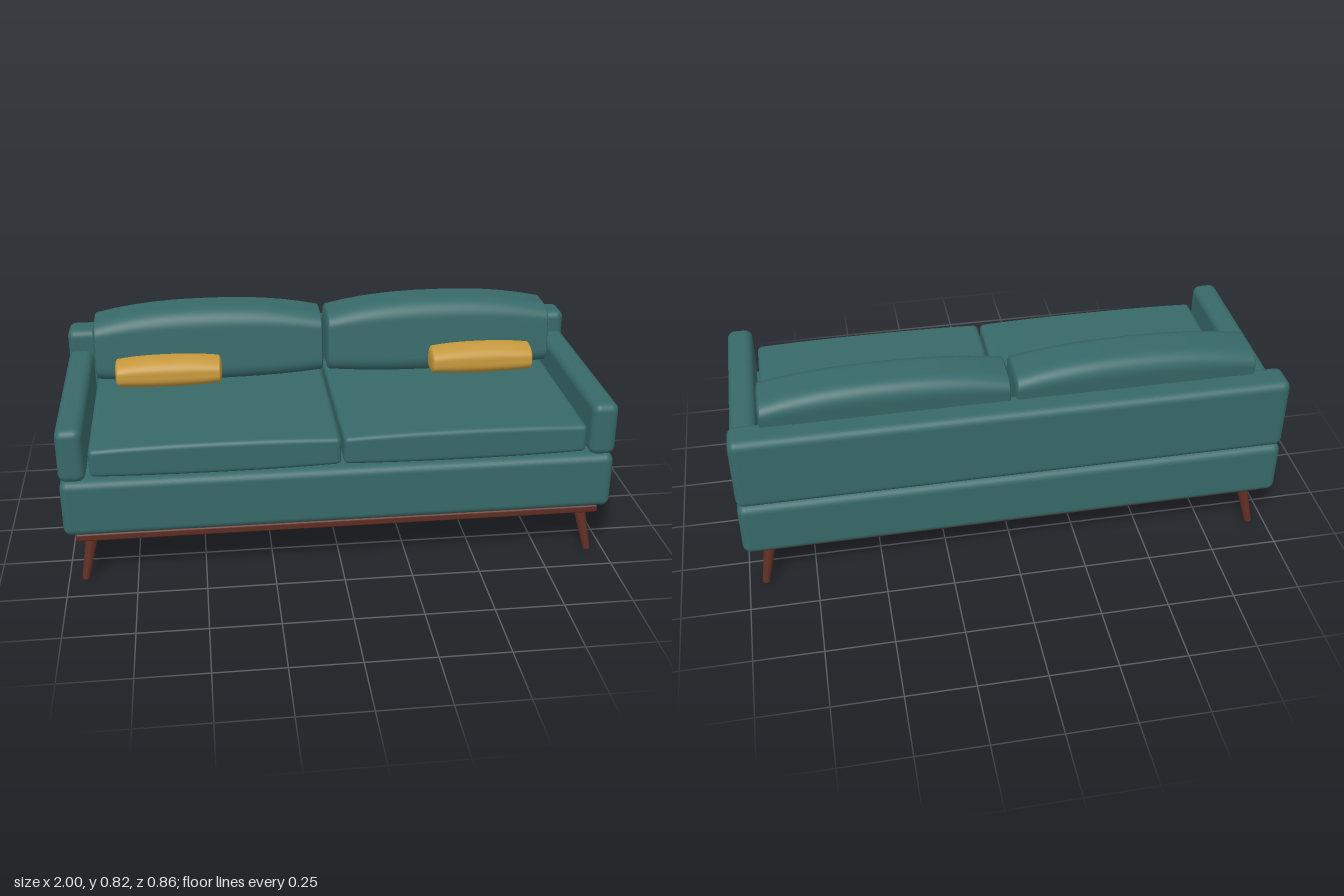
import * as THREE from 'three';
import { mergeVertices } from 'three/addons/utils/BufferGeometryUtils.js';
import { RoundedBoxGeometry } from 'three/addons/geometries/RoundedBoxGeometry.js';

const fabric = new THREE.MeshStandardMaterial({ color: 0x376968 });
fabric.name = 'teal fabric';
const wood = new THREE.MeshStandardMaterial({ color: 0x5e2d23 });
wood.name = 'dark wood';
const mustard = new THREE.MeshStandardMaterial({ color: 0xc4973c });
mustard.name = 'mustard fabric';

// Rounded box given by its minimum and maximum corners
function block(name, material, min, max, radius) {
  const size = max.map((v, i) => v - min[i]);
  const mesh = new THREE.Mesh(new RoundedBoxGeometry(...size, 4, radius), material);
  mesh.position.set(...max.map((v, i) => (v + min[i]) / 2));
  mesh.name = name;
  return mesh;
}

// Soft block: separate corner radius per axis, crowned top and bottom, leaning back
function cushion(name, material, min, max, radii, { top = 0, bottom = 0, lean = 0 }) {
  const half = max.map((v, i) => (v - min[i]) / 2);
  const n = 24, corner = 6;
  let geometry = new THREE.BoxGeometry(2, 2, 2, n, n, n);
  geometry.deleteAttribute('uv');
  geometry.deleteAttribute('normal');
  const pos = geometry.attributes.position;
  for (let i = 0; i < pos.count; i++) {
    // offset beyond the inner box, in units of the corner radius
    const inner = [], offset = new THREE.Vector3();
    for (let a = 0; a < 3; a++) {
      const t = pos.getComponent(i, a) * n / 2;
      const flat = n / 2 - corner;
      const core = THREE.MathUtils.clamp(t, -flat, flat);
      inner[a] = core / flat * (half[a] - radii[a]);
      offset.setComponent(a, Math.tan((t - core) / corner * Math.PI / 4));
    }
    offset.normalize();
    const p = inner.map((v, a) => v + offset.getComponent(a) * radii[a]);
    const u = Math.abs(p[0] / half[0]) ** 2.4;
    const s = p[1] / half[1];
    p[1] -= s > 0 ? top * u * s : bottom * u * s;
    p[2] -= lean * p[1];
    pos.setXYZ(i, ...p);
  }
  geometry = mergeVertices(geometry, 1e-5);
  geometry.computeVertexNormals();
  const mesh = new THREE.Mesh(geometry, material);
  mesh.position.set(...max.map((v, i) => (v + min[i]) / 2));
  mesh.name = name;
  return mesh;
}

// Tapered leg between two points
function leg(name, topPoint, footPoint) {
  const a = new THREE.Vector3(...topPoint), b = new THREE.Vector3(...footPoint);
  const axis = a.clone().sub(b);
  const mesh = new THREE.Mesh(new THREE.CylinderGeometry(0.023, 0.0135, axis.length(), 20), wood);
  mesh.position.copy(a).add(b).multiplyScalar(0.5);
  mesh.quaternion.setFromUnitVectors(new THREE.Vector3(0, 1, 0), axis.normalize());
  mesh.name = name;
  return mesh;
}

export function createModel() {
  const sofa = new THREE.Group();
  sofa.name = 'sofa';

  // Frame
  sofa.add(
    block('plinth', wood, [-0.96, 0.17, -0.387], [0.96, 0.2, 0.412], 0.008),
    block('base', fabric, [-1, 0.2, -0.43], [1, 0.415, 0.43], 0.03),
    block('backrest', fabric, [-1, 0.415, -0.43], [1, 0.7, -0.305], 0.03),
  );

  // Parts on each side
  for (const [side, s] of [['left', 1], ['right', -1]]) {
    const span = (x0, x1) => (s > 0 ? [x0, x1] : [-x1, -x0]);
    const [a0, a1] = span(0.904, 1);
    const [c0, c1] = span(0.005, 0.891);
    const [p0, p1] = span(0.405, 0.812);
    sofa.add(
      block(`${side}Arm`, fabric, [a0, 0.415, -0.37], [a1, 0.617, 0.43], 0.03),
      cushion(`${side}SeatCushion`, fabric, [c0, 0.422, -0.32], [c1, 0.542, 0.42],
        [0.018, 0.02, 0.018], { top: 0.009, bottom: 0.008 }),
      cushion(`${side}BackCushion`, fabric, [c0, 0.535, -0.343], [c1, 0.82, -0.135],
        [0.012, 0.065, 0.062], { top: 0.045, bottom: 0.02, lean: 0.11 }),
      cushion(`${side}Pillow`, mustard, [p0, 0.542, -0.2], [p1, 0.66, -0.048],
        [0.012, 0.048, 0.07], { top: 0.013, bottom: 0.01, lean: 0.08 }),
      leg(`${side}FrontLeg`, [s * 0.904, 0.18, 0.35], [s * 0.94, 0.003, 0.389]),
      leg(`${side}BackLeg`, [s * 0.904, 0.18, -0.325], [s * 0.94, 0.003, -0.367]),
    );
  }
  return sofa;
}
